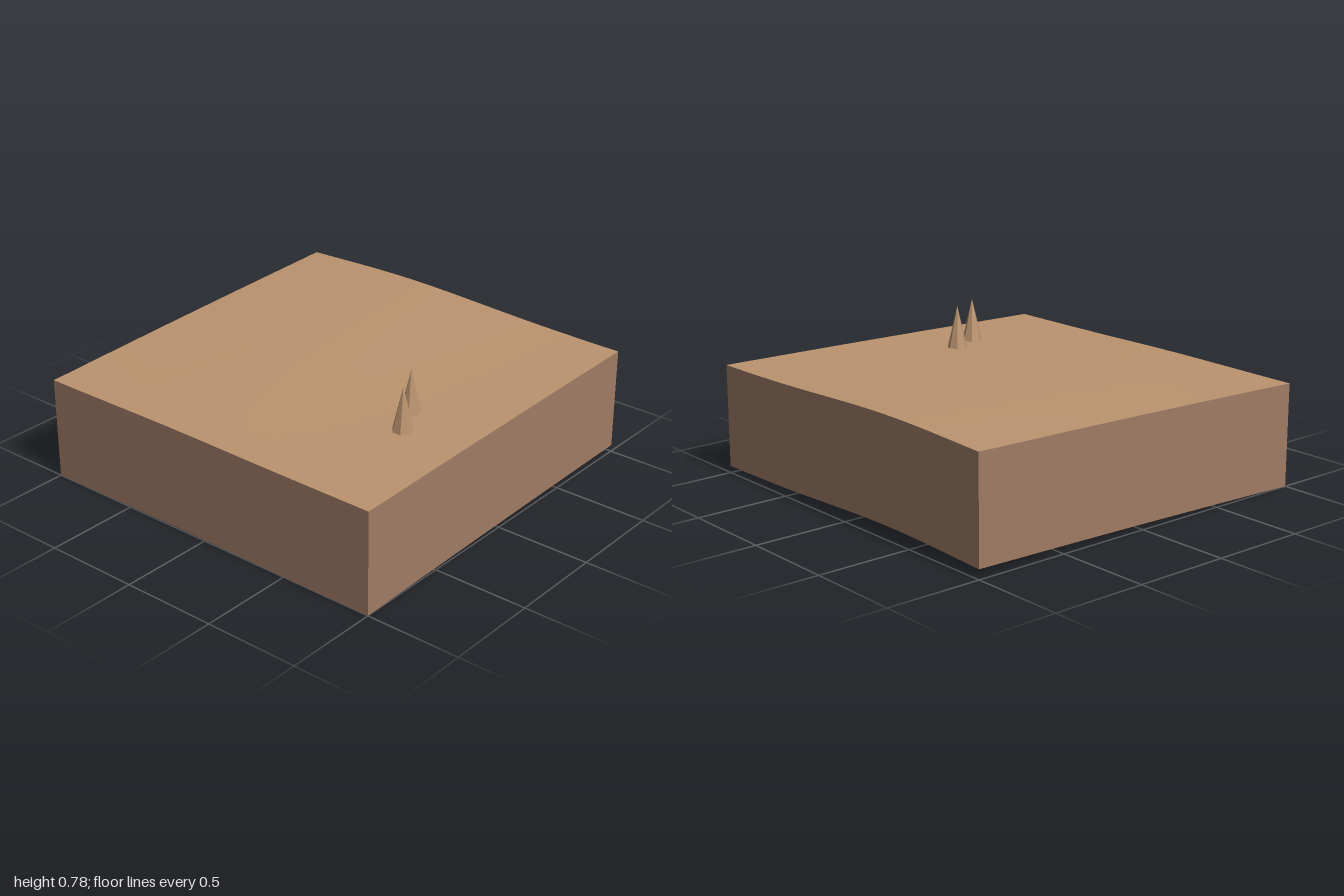
import * as THREE from 'three';

const DEPTH = 0.536; // wall height, constant all round
const SEGMENTS = 24;

// Gentle slope rising to the back, with a low swell left of centre
function heightAt(x, z) {
  const u = (1 - z) / 2;
  const t = u + 0.08 * Math.sin(Math.PI * u);
  const front = 0.536 + 0.006 * Math.exp(-(((x + 0.2) / 0.5) ** 2));
  const back = 0.571 + 0.034 * Math.exp(-(((x + 0.35) / 0.7) ** 2));
  return front + (back - front) * t;
}

export function createModel() {
  const sand = new THREE.MeshStandardMaterial({ color: 0xba936e, side: THREE.DoubleSide });
  sand.name = 'sand';
  const earth = new THREE.MeshStandardMaterial({ color: 0x9f7b64, side: THREE.DoubleSide });
  earth.name = 'earth';

  const model = new THREE.Group();
  model.name = 'terrainTile';
  const add = (name, geometry, material) => {
    const mesh = new THREE.Mesh(geometry, material);
    mesh.name = name;
    model.add(mesh);
    return mesh;
  };

  // Ground surface
  const ground = new THREE.PlaneGeometry(2, 2, SEGMENTS, SEGMENTS).rotateX(-Math.PI / 2);
  const gp = ground.attributes.position;
  for (let i = 0; i < gp.count; i++) gp.setY(i, heightAt(gp.getX(i), gp.getZ(i)));
  ground.computeVertexNormals();
  add('ground', ground, sand);

  // Four walls whose top and bottom edges both follow the ground; open underneath
  ['frontWall', 'leftWall', 'backWall', 'rightWall'].forEach((name, k) => {
    const wall = new THREE.PlaneGeometry(2, 1, SEGMENTS, 1);
    wall.translate(0, -0.5, 1).rotateY((k * Math.PI) / 2);
    const p = wall.attributes.position;
    for (let i = 0; i < p.count; i++) {
      const isTop = p.getY(i) > -0.5;
      p.setY(i, heightAt(p.getX(i), p.getZ(i)) - (isTop ? 0 : DEPTH));
    }
    wall.computeVertexNormals();
    add(name, wall, earth);
  });

  // Two faceted spikes standing on the ground
  const spike = new THREE.ConeGeometry(0.054, 0.23, 7).toNonIndexed();
  spike.computeVertexNormals();
  spike.rotateY(Math.PI).translate(0, 0.115, 0);
  [[0.58, 0.165], [0.665, 0.335]].forEach(([x, z], i) => {
    add(i ? 'frontSpike' : 'backSpike', spike, sand).position.set(x, 0.549, z);
  });

  return model;
}
